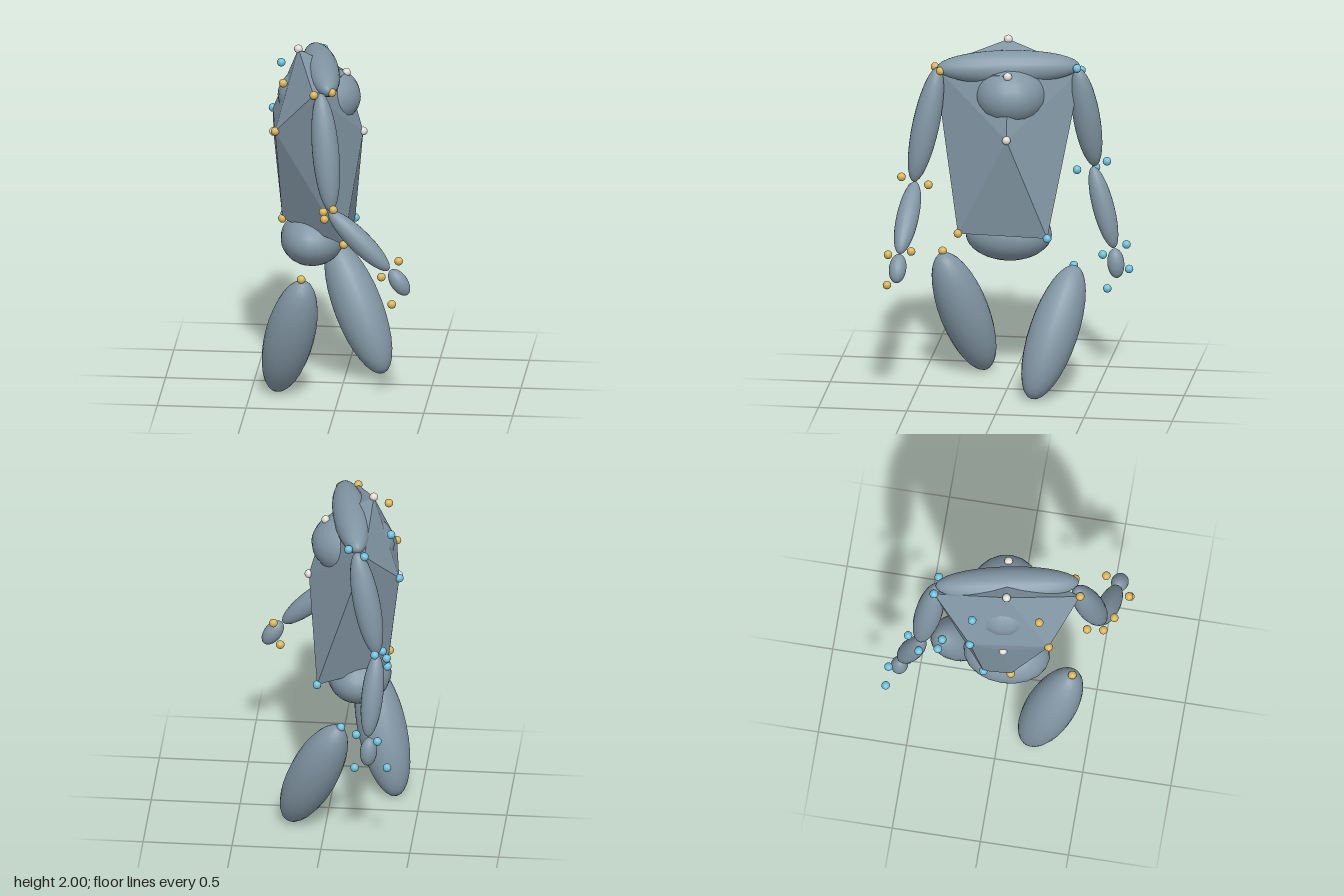
import * as THREE from 'three';
import { ConvexGeometry } from 'three/addons/geometries/ConvexGeometry.js';

const V = (p) => new THREE.Vector3(...p);

function makeMaterial(name, color) {
  const m = new THREE.MeshStandardMaterial({ color });
  m.name = name;
  return m;
}

export function createModel() {
  const model = new THREE.Group();
  model.name = 'markerFigure';
  const slate = makeMaterial('slate grey', 0x8296a4);
  const gold = makeMaterial('gold', 0xd9b45a);
  const blue = makeMaterial('sky blue', 0x70c0da);
  const ivory = makeMaterial('ivory', 0xe0dcd4);

  // Ellipsoid body segment: centre, half-axis vector, cross radii
  const ball = new THREE.SphereGeometry(1, 20, 16);
  function segment(name, centre, half, rx, rz = rx) {
    const mesh = new THREE.Mesh(ball, slate);
    const axis = V(half);
    mesh.name = name;
    mesh.position.set(...centre);
    mesh.scale.set(rx, axis.length(), rz);
    mesh.quaternion.setFromUnitVectors(new THREE.Vector3(0, 1, 0), axis.normalize());
    model.add(mesh);
  }

  // Head-less trunk: shoulder bar, chest and pelvis
  segment('shoulderBar', [-0.123, 1.855, 0.01], [0.075, 0, 0.395], 0.1, 0.095);
  segment('chest', [-0.135, 1.7, 0], [0, 0.18, 0], 0.234, 0.208);
  segment('pelvis', [-0.17, 0.87, 0.015], [0, 0.153, 0], 0.18, 0.245);

  // Left limbs
  segment('leftUpperArm', [-0.055, 1.52, 0.467], [-0.035, 0.327, -0.065], 0.076);
  segment('leftForearm', [0.14, 1.03, 0.545], [-0.17, 0.16, -0.022], 0.063);
  segment('leftHand', [0.368, 0.8, 0.57], [-0.048, 0.07, -0.004], 0.049);
  segment('leftThigh', [-0.275, 0.37, 0.281], [0.09, 0.358, 0.115], 0.139);

  // Right limbs
  segment('rightUpperArm', [-0.25, 1.54, -0.415], [0.06, 0.3, 0.04], 0.076);
  segment('rightForearm', [-0.29, 1.005, -0.505], [-0.02, 0.23, 0.063], 0.061);
  segment('rightHand', [-0.275, 0.685, -0.577], [-0.006, 0.084, 0.008], 0.048);
  segment('rightThigh', [0.06, 0.369, -0.27], [-0.152, 0.35, -0.106], 0.138);

  // Marker positions on the trunk that also span the faceted shell
  const midTrunk = [
    [-0.25, 1.98, 0.027], [0.018, 1.84, -0.005], [0.112, 1.495, -0.01], [-0.39, 1.49, 0.03],
  ];
  const leftTrunk = [
    [-0.126, 1.84, 0.425], [-0.357, 1.575, 0.283], [-0.336, 0.99, 0.065], [0.028, 0.915, 0.275],
  ];
  const rightTrunk = [
    [-0.235, 1.82, -0.388], [-0.41, 1.57, -0.156], [-0.337, 0.97, -0.09], [0.046, 0.91, -0.232],
  ];
  const shell = new THREE.Mesh(
    new ConvexGeometry([...midTrunk, ...leftTrunk, ...rightTrunk].map(V)), slate);
  shell.name = 'torsoShell';
  model.add(shell);

  // Free markers: shoulder, upper back, elbow, wrist and knee
  const leftFree = [
    [-0.317, 1.84, 0.223], [-0.028, 1.845, 0.382],
    [0, 1.225, 0.598], [-0.055, 1.15, 0.545], [-0.07, 1.163, 0.455],
    [0.274, 0.85, 0.637], [0.358, 0.9, 0.495], [0.332, 0.69, 0.635],
    [-0.2, 0.74, 0.392],
  ];
  const rightFree = [
    [-0.363, 1.84, -0.15], [-0.144, 1.855, -0.375],
    [-0.305, 1.27, -0.523], [-0.333, 1.205, -0.35], [-0.366, 1.215, -0.453],
    [-0.33, 0.78, -0.63], [-0.385, 0.62, -0.637], [-0.2, 0.755, -0.513],
    [-0.193, 0.56, -0.54], [-0.1, 0.717, -0.363],
  ];
  const bead = new THREE.SphereGeometry(0.024, 16, 12);
  function markers(name, points, material) {
    const group = new THREE.Group();
    group.name = name;
    for (const p of points) {
      const mesh = new THREE.Mesh(bead, material);
      mesh.name = 'marker';
      mesh.position.set(...p);
      group.add(mesh);
    }
    model.add(group);
  }
  markers('midMarkers', midTrunk, ivory);
  markers('leftMarkers', [...leftTrunk, ...leftFree], gold);
  markers('rightMarkers', [...rightTrunk, ...rightFree], blue);

  return model;
}
